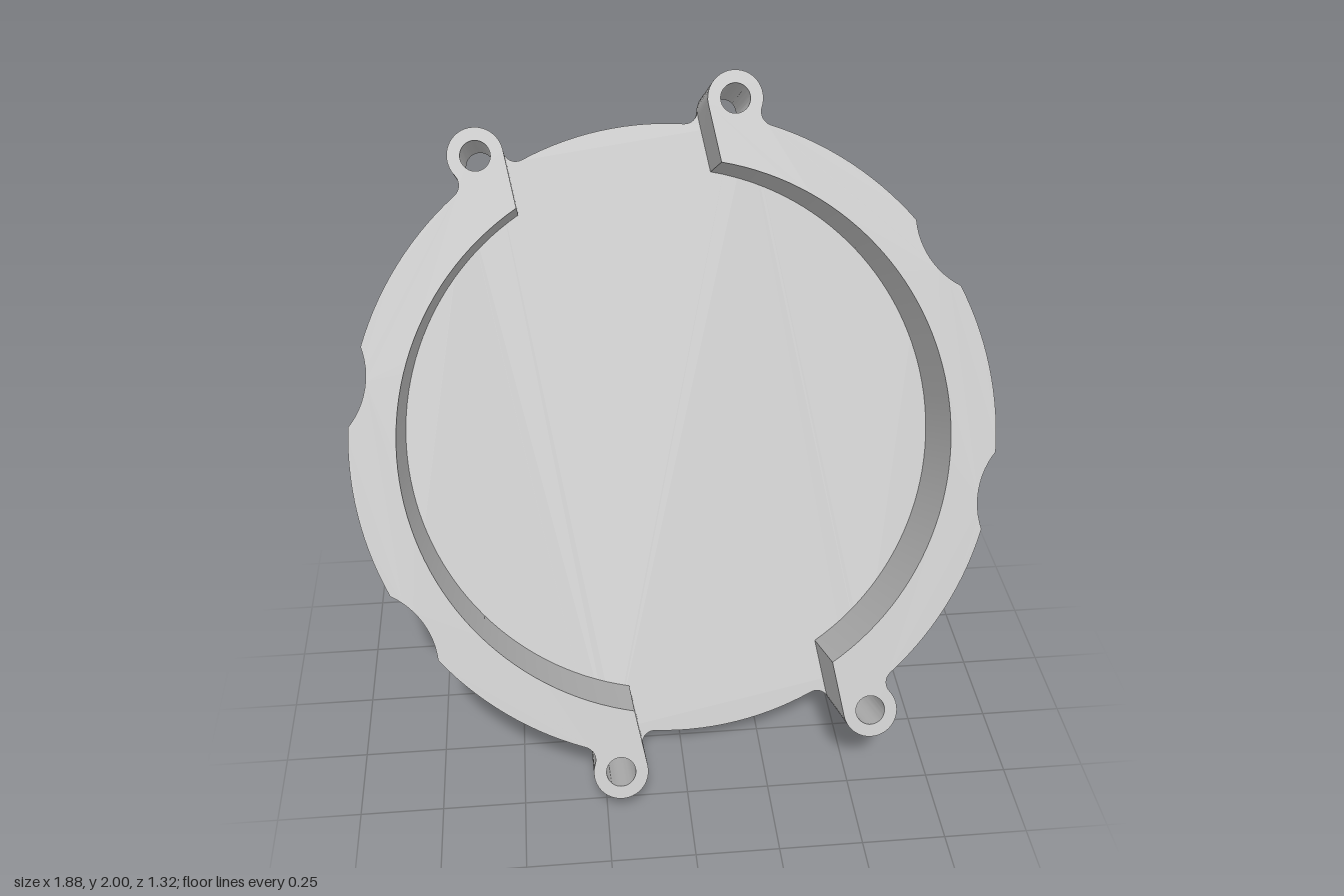
import * as THREE from 'three';
import { toCreasedNormals } from 'three/addons/utils/BufferGeometryUtils.js';

const R = 0.94, INNER = 0.805, SLOT = 0.3;           // rim outside, rim inside, half slot width
const BOSS_D = 0.99, BOSS_R = 0.08, HOLE_R = 0.043, FILLET = 0.04;
const NOTCH_R = 0.24, NOTCH_D = 1.143;
const BACK = -0.165, FLOOR = -0.125, FRONT = 0.177;  // depths along the axis
const HUB = -0.335, COLLAR = -0.476;
const rad = THREE.MathUtils.degToRad;

// Points along an arc, turned about the origin by t
function arc(cx, cy, r, a0, a1, n, t = 0) {
  const pts = [];
  for (let i = 0; i <= n; i++) {
    const a = a0 + (a1 - a0) * i / n;
    pts.push(new THREE.Vector2(cx + r * Math.cos(a), cy + r * Math.sin(a)).rotateAround(new THREE.Vector2(), t));
  }
  return pts;
}

// Half angles the notches and bosses take up on the rim
const notchHalf = Math.acos((R * R + NOTCH_D ** 2 - NOTCH_R ** 2) / (2 * R * NOTCH_D));
const F = R + FILLET;
const bossHalf = Math.acos((F * F + BOSS_D ** 2 - (BOSS_R + FILLET) ** 2) / (2 * F * BOSS_D));
const fx = F * Math.cos(bossHalf), fy = F * Math.sin(bossHalf);
const touch = Math.atan2(fy, BOSS_D - fx);

function notch(t) {
  const g = Math.atan2(R * Math.sin(notchHalf), NOTCH_D - R * Math.cos(notchHalf));
  return arc(NOTCH_D, 0, NOTCH_R, Math.PI + g, Math.PI - g, 12, t);
}
const filletIn = (t) => arc(fx, -fy, FILLET, Math.PI - bossHalf, touch, 8, t);
const filletOut = (t) => arc(fx, fy, FILLET, -touch, bossHalf - Math.PI, 8, t);
const bossArc = (t, a0, a1) => arc(BOSS_D, 0, BOSS_R, a0, a1, 24, t);
const rimArc = (a0, a1) => arc(0, 0, R, a0, a1, 14);

// Outer edge between the bosses at -67.5 and 67.5 degrees
function sideEdge() {
  const b = rad(67.5), n = rad(22.5);
  return [
    ...filletOut(-b), ...rimArc(-b + bossHalf, -n - notchHalf), ...notch(-n),
    ...rimArc(-n + notchHalf, n - notchHalf), ...notch(n),
    ...rimArc(n + notchHalf, b - bossHalf), ...filletIn(b),
  ];
}

function makeShape(points, holeAngles) {
  const clean = points.filter((p, i) => i === 0 || p.distanceTo(points[i - 1]) > 1e-5);
  if (clean[0].distanceTo(clean[clean.length - 1]) < 1e-5) clean.pop();
  const shape = new THREE.Shape(clean);
  for (const a of holeAngles) {
    const hole = new THREE.Path();
    hole.absarc(BOSS_D * Math.cos(rad(a)), BOSS_D * Math.sin(rad(a)), HOLE_R, 0, Math.PI * 2, true);
    shape.holes.push(hole);
  }
  return shape;
}

function extrude(shape, z0, z1, curveSegments = 24) {
  const geo = new THREE.ExtrudeGeometry(shape, { depth: z1 - z0, bevelEnabled: false, curveSegments });
  geo.translate(0, 0, z0);
  return toCreasedNormals(geo, 0.5);
}

export function createModel() {
  const grey = new THREE.MeshStandardMaterial({ color: 0xbfbfbf });
  grey.name = 'light grey';
  const body = new THREE.Group();
  body.name = 'housingCover';
  const add = (name, geo) => {
    const mesh = new THREE.Mesh(geo, grey);
    mesh.name = name;
    body.add(mesh);
    return mesh;
  };

  // Thin floor plate with the full scalloped outline and four bosses
  const wrap = Math.PI - touch;
  const half = [
    ...sideEdge(), ...bossArc(rad(67.5), -wrap, wrap), ...filletOut(rad(67.5)),
    ...rimArc(rad(67.5) + bossHalf, rad(112.5) - bossHalf),
    ...filletIn(rad(112.5)), ...bossArc(rad(112.5), -wrap, wrap),
  ];
  const outline = [...half, ...half.map((p) => new THREE.Vector2(-p.x, -p.y))];
  add('floorPlate', extrude(makeShape(outline, [67.5, 112.5, 247.5, 292.5]), BACK, FLOOR));

  // Two raised rim walls, separated by the straight slot
  const corner = Math.acos(SLOT / INNER);
  const wall = [
    ...bossArc(rad(-67.5), rad(-112.5), wrap), ...sideEdge(),
    ...bossArc(rad(67.5), -wrap, rad(112.5)),
    ...arc(0, 0, INNER, corner, -corner, 56),
  ];
  const wallGeo = extrude(makeShape(wall, [67.5, -67.5]), FLOOR, FRONT);
  add('rimWallLeft', wallGeo);
  add('rimWallRight', wallGeo).rotation.z = Math.PI;

  // Stepped hub on the back
  const hub = new THREE.Shape();
  hub.absarc(0, 0, 0.754, 0, Math.PI * 2, false);
  add('hubDisc', extrude(hub, HUB, BACK, 64));

  // Collar with a blind bore
  const collar = new THREE.Shape();
  collar.absarc(0, 0, 0.45, 0, Math.PI * 2, false);
  const bore = new THREE.Path();
  bore.absarc(0, 0, 0.25, 0, Math.PI * 2, true);
  collar.holes.push(bore);
  add('collar', extrude(collar, COLLAR, HUB, 48));

  // Lean back and turn about the axis
  body.rotation.set(rad(-29), 0, rad(10.3));
  body.position.y = 1;
  const model = new THREE.Group();
  model.name = 'model';
  model.add(body);
  return model;
}
